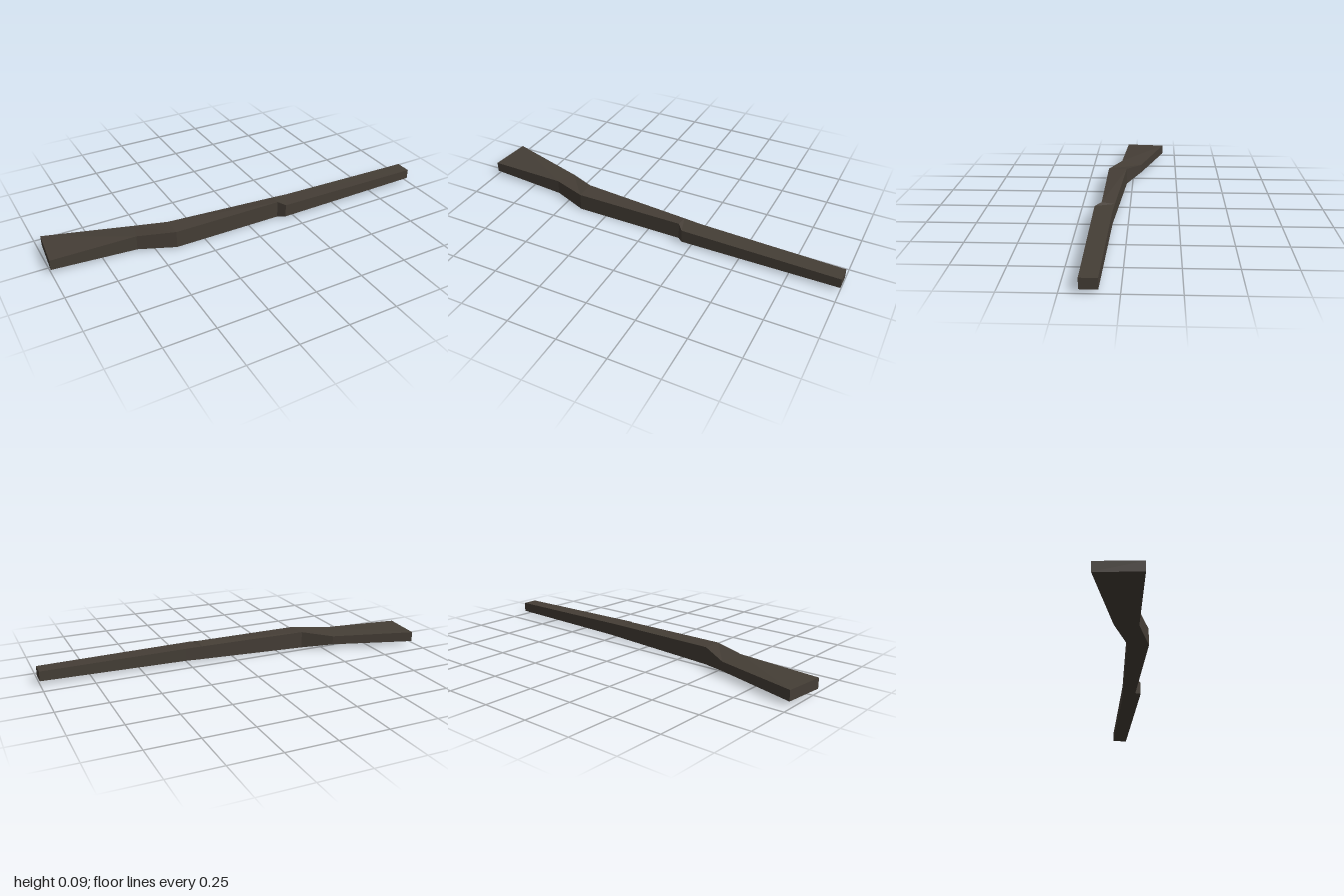
import * as THREE from 'three';

const MID = 0.044; // height of the horizontal symmetry plane

// Cross-sections from butt to tip: back edge [x, z, half height], front edge [x, z, half height]
const SECTIONS = [
  [[-0.98, -0.172, 0.026], [-1.0, 0.045, 0.026]],   // butt end
  [[-0.55, -0.045, 0.023], [-0.58, 0.068, 0.038]],  // start of the wrist
  [[-0.40, 0.033, 0.044], [-0.40, 0.135, 0.044]],   // end of the wrist
  [[0.17, 0.069, 0.035], [0.17, 0.135, 0.044]],     // before the step
  [[0.26, 0.075, 0.033], [0.20, 0.168, 0.034]],     // after the step
  [[1.0, 0.088, 0.025], [1.0, 0.168, 0.025]],       // tip
];

// Joins four-cornered sections into a closed faceted body
function loftSections(sections) {
  const positions = [];
  const index = [];
  for (const [[bx, bz, bh], [fx, fz, fh]] of sections) {
    positions.push(
      bx, MID - bh, bz, // back bottom
      bx, MID + bh, bz, // back top
      fx, MID + fh, fz, // front top
      fx, MID - fh, fz, // front bottom
    );
  }
  for (let i = 0; i < sections.length - 1; i++) {
    for (let k = 0; k < 4; k++) {
      const a = i * 4 + k;
      const b = i * 4 + (k + 1) % 4;
      const c = b + 4;
      const d = a + 4;
      // The underside mirrors the diagonal of the top
      if (k === 3) index.push(a, b, d, b, c, d);
      else index.push(a, b, c, a, c, d);
    }
  }
  // End caps
  const e = (sections.length - 1) * 4;
  index.push(0, 2, 1, 0, 3, 2, e, e + 1, e + 2, e, e + 2, e + 3);

  const geometry = new THREE.BufferGeometry();
  geometry.setAttribute('position', new THREE.Float32BufferAttribute(positions, 3));
  geometry.setIndex(index);
  const flat = geometry.toNonIndexed();
  flat.computeVertexNormals();
  return flat;
}

export function createModel() {
  const group = new THREE.Group();
  group.name = 'woodenStock';

  const darkWood = new THREE.MeshStandardMaterial({ color: 0x453e36 });
  darkWood.name = 'darkWood';

  const stock = new THREE.Mesh(loftSections(SECTIONS), darkWood);
  stock.name = 'stock';
  group.add(stock);
  return group;
}
